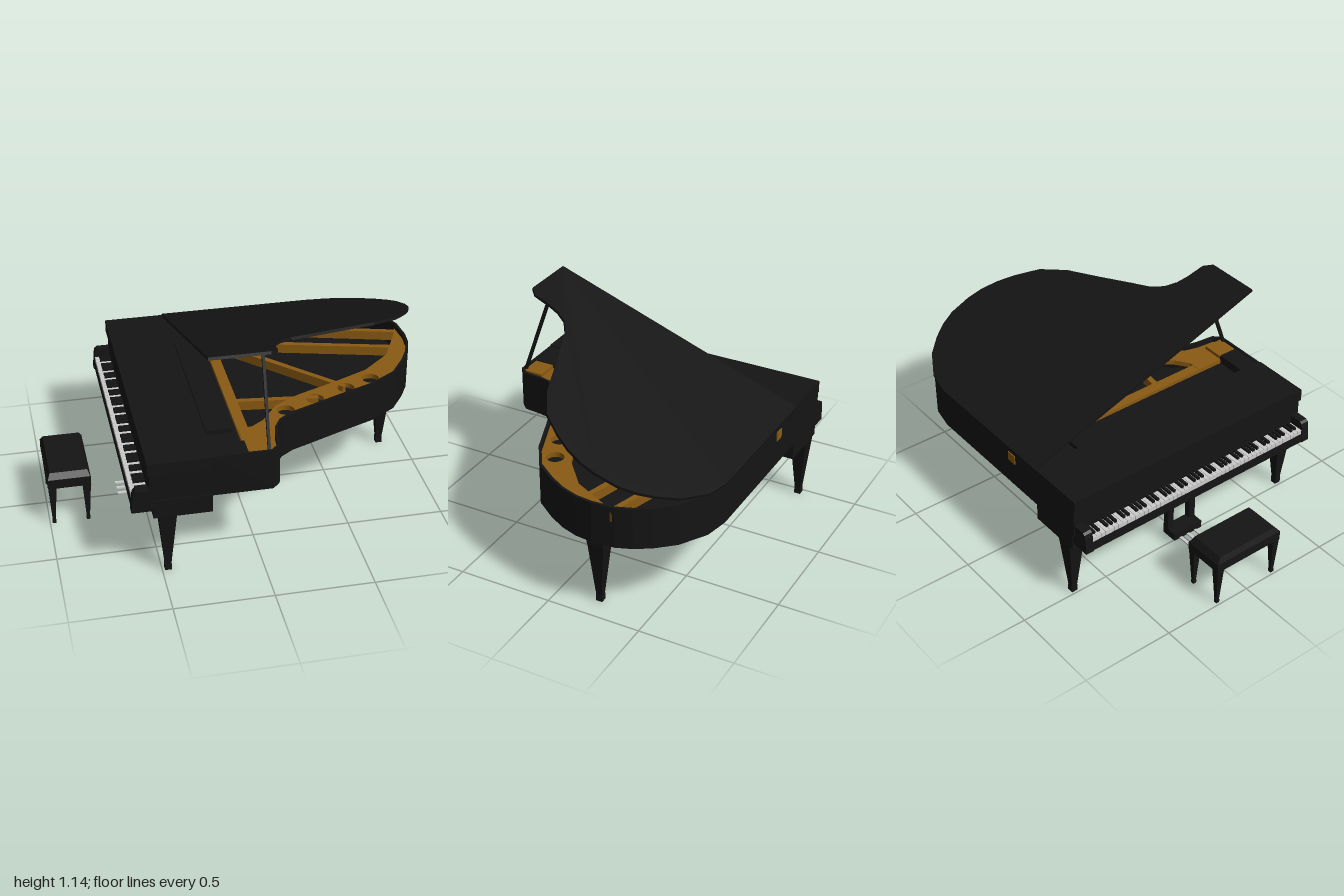
import * as THREE from 'three';

const black = new THREE.MeshStandardMaterial({ color: 0x141414, flatShading: true });
const gold = new THREE.MeshStandardMaterial({ color: 0x8a5a12, flatShading: true });
const ivory = new THREE.MeshStandardMaterial({ color: 0xcccccc });

// Curved side of the case as (x, z), from the front cheek round the tail to the straight side
const curve = [
  [0.05, 0.72], [0.09, 0.68], [0.1, 0.58], [0.115, 0.52], [0.15, 0.46], [0.22, 0.41], [0.32, 0.37],
  [0.5, 0.295], [0.69, 0.22], [0.83, 0.13], [0.91, 0.02], [0.96, -0.07], [0.99, -0.16], [1, -0.25],
  [0.99, -0.37], [0.96, -0.45], [0.91, -0.53], [0.83, -0.62], [0.69, -0.705], [0.56, -0.73],
];

// The curve moved inward by d
function inset(d) {
  return curve.map(([x, z], i) => {
    const a = curve[Math.max(i - 1, 0)], b = curve[Math.min(i + 1, curve.length - 1)];
    const dx = b[0] - a[0], dz = b[1] - a[1], l = Math.hypot(dx, dz);
    return [x + (dz / l) * d, z - (dx / l) * d];
  });
}

const toVectors = (pts) => pts.map(([x, z]) => new THREE.Vector2(x, -z));

function add(parent, name, geometry, material = black) {
  const mesh = new THREE.Mesh(geometry, material);
  mesh.name = name;
  parent.add(mesh);
  return mesh;
}

// Box given by its limits on each axis
function box(parent, name, [x0, x1], [y0, y1], [z0, z1], material) {
  const g = new THREE.BoxGeometry(x1 - x0, y1 - y0, z1 - z0);
  g.translate((x0 + x1) / 2, (y0 + y1) / 2, (z0 + z1) / 2);
  return add(parent, name, g, material);
}

// Flat plan shape raised from y0 to y1
function slab(parent, name, pts, y0, y1, material, holes = []) {
  const shape = new THREE.Shape(toVectors(pts));
  shape.holes.push(...holes);
  const g = new THREE.ExtrudeGeometry(shape, { depth: y1 - y0, bevelEnabled: false, curveSegments: 12 });
  g.rotateX(-Math.PI / 2).translate(0, y0, 0);
  return add(parent, name, g, material);
}

// Four-sided tapered block
function taper(parent, name, x, z, y0, y1, bottom, top) {
  const g = new THREE.CylinderGeometry(top * Math.SQRT1_2, bottom * Math.SQRT1_2, y1 - y0, 4);
  g.rotateY(Math.PI / 4).translate(x, (y0 + y1) / 2, z);
  return add(parent, name, g);
}

// Square bar between two points
function bar(parent, name, a, b, width, height, material) {
  const p = new THREE.Vector3(...a), q = new THREE.Vector3(...b);
  const mesh = add(parent, name, new THREE.BoxGeometry(width, height, p.distanceTo(q)), material);
  mesh.position.copy(p).add(q).multiplyScalar(0.5);
  mesh.lookAt(q);
  return mesh;
}

function buildCase(root) {
  const g = new THREE.Group();
  g.name = 'case';
  const outline = [[-0.25, 0.72], ...curve, [-0.25, -0.73]];
  const inner = [[-0.24, 0.706], ...inset(0.014), [-0.24, -0.716]];
  slab(g, 'rim', outline, 0.43, 0.65, black, [new THREE.Path(toVectors(inner))]);
  slab(g, 'soundboard', inner, 0.43, 0.51, black);
  box(g, 'frontCase', [-0.555, -0.25], [0.43, 0.635], [-0.73, 0.72]);
  box(g, 'frontLid', [-0.565, -0.25], [0.585, 0.65], [-0.73, 0.725]);
  box(g, 'keybed', [-0.54, -0.25], [0.34, 0.44], [-0.73, 0.725]);
  box(g, 'pinBlock', [-0.25, -0.07], [0.5, 0.6], [-0.716, 0.706]);
  box(g, 'cheekTop', [-0.25, -0.07], [0.6, 0.645], [0.6, 0.706]);
  box(g, 'musicShelf', [-0.23, -0.1], [0.6, 0.625], [-0.45, 0.45]);
  root.add(g);
}

function buildFrame(root) {
  const g = new THREE.Group();
  g.name = 'ironFrame';
  // Band following the bent side, with round openings
  const innerEdge = [
    [0.95, -0.3], [0.85, -0.1], [0.7, 0.03], [0.5, 0.12], [0.3, 0.2],
    [0.16, 0.28], [0.07, 0.4], [0, 0.45], [-0.07, 0.45], [-0.07, 0.706],
  ];
  const holes = [[0.2, 0.335], [0.37, 0.26], [0.55, 0.185], [0.7, 0.12]].map(([x, z]) =>
    new THREE.Path().absarc(x, -z, 0.045, 0, Math.PI * 2, true));
  slab(g, 'framePlate', [...inset(0.014).slice(0, 15), ...innerEdge], 0.595, 0.622, gold, holes);
  box(g, 'cheekPlate', [-0.07, 0.05], [0.6, 0.64], [0.6, 0.706], gold);
  box(g, 'tuningBar', [-0.075, -0.02], [0.57, 0.62], [-0.735, 0.6], gold);
  const struts = [
    [-0.04, 0.19, 0.39, 0.24], [-0.02, -0.43, 0.55, 0.16],
    [-0.02, -0.43, 0.96, -0.17], [-0.02, -0.62, 0.99, -0.34],
  ];
  for (const [x0, z0, x1, z1] of struts) bar(g, 'frameStrut', [x0, 0.595, z0], [x1, 0.595, z1], 0.03, 0.05, gold);
  root.add(g);
}

function buildLid(root) {
  const g = new THREE.Group();
  g.name = 'lid';
  slab(g, 'lidPanel', [[-0.25, 0.72], ...curve, [-0.25, -0.73]].map(([x, z]) => [x, z + 0.73]), 0, 0.015, black);
  g.position.set(0, 0.64, -0.73);
  g.rotation.x = -0.343;
  root.add(g);
  bar(root, 'lidProp', [0.03, 0.63, 0.71], [0.03, 1.105, 0.54], 0.014, 0.016, black);
}

function buildKeyboard(root) {
  const g = new THREE.Group();
  g.name = 'keyboard';
  box(g, 'keySlip', [-0.64, -0.54], [0.38, 0.43], [-0.725, 0.72]);
  // Rounded cheek block at each end
  const profile = new THREE.Shape(toVectors([
    [-0.645, -0.38], [-0.54, -0.38], [-0.54, -0.5], [-0.62, -0.5], [-0.632, -0.49], [-0.637, -0.47]]));
  for (const z of [-0.725, 0.675]) {
    const block = new THREE.ExtrudeGeometry(profile, { depth: 0.045, bevelEnabled: false });
    add(g, 'keyBlock', block.translate(0, 0, z));
  }
  const count = 52, z0 = -0.68, step = 1.355 / count;
  for (let i = 0; i < count; i++) {
    const z = z0 + i * step;
    box(g, 'whiteKey', [-0.636, -0.55], [0.43, 0.455], [z + 0.001, z + step - 0.001], ivory);
    if (i > 0 && ![0, 3].includes(i % 7)) {
      box(g, 'blackKey', [-0.615, -0.55], [0.45, 0.468], [z - 0.007, z + 0.007]);
    }
  }
  root.add(g);
}

function buildLegs(root) {
  for (const [x, z, top] of [[-0.47, 0.68, 0.35], [-0.47, -0.685, 0.35], [0.87, -0.22, 0.36]]) {
    const g = new THREE.Group();
    g.name = 'leg';
    taper(g, 'legShaft', x, z, 0.03, top, 0.03, 0.09);
    taper(g, 'legFoot', x, z, 0, 0.035, 0.034, 0.034);
    root.add(g);
  }
  box(root, 'tailLegBlock', [0.825, 0.915], [0.35, 0.44], [-0.265, -0.175]);
  box(root, 'tailLegBracket', [0.835, 0.905], [0.385, 0.44], [-0.32, -0.12]);
}

function buildPedals(root) {
  const g = new THREE.Group();
  g.name = 'pedalLyre';
  for (const z of [-0.068, 0.074]) box(g, 'lyrePost', [-0.485, -0.45], [0.04, 0.35], [z - 0.018, z + 0.018]);
  box(g, 'lyreBase', [-0.54, -0.45], [0.04, 0.082], [-0.086, 0.092]);
  for (const z of [-0.045, 0.003, 0.051]) box(g, 'pedal', [-0.63, -0.53], [0.038, 0.046], [z - 0.008, z + 0.008], ivory);
  root.add(g);
}

function buildBench(root) {
  const g = new THREE.Group();
  g.name = 'bench';
  // Apron around an open underside
  box(g, 'apronLeft', [-1, -0.98], [0.22, 0.27], [-0.2, 0.205]);
  box(g, 'apronRight', [-0.8, -0.78], [0.22, 0.27], [-0.2, 0.205]);
  box(g, 'apronFront', [-0.98, -0.8], [0.22, 0.27], [0.185, 0.205]);
  box(g, 'apronBack', [-0.98, -0.8], [0.22, 0.27], [-0.2, -0.18]);
  // Cushion with sloping edges
  const cushion = new THREE.BoxGeometry(0.22, 0.035, 0.405);
  const p = cushion.attributes.position;
  for (let i = 0; i < p.count; i++) {
    if (p.getY(i) > 0) p.setXYZ(i, p.getX(i) * 0.87, p.getY(i), p.getZ(i) * 0.87);
  }
  add(g, 'cushion', cushion.translate(-0.89, 0.2825, 0.0025));
  for (const x of [-0.978, -0.802]) {
    for (const z of [-0.178, 0.183]) {
      taper(g, 'benchLeg', x, z, 0.018, 0.23, 0.016, 0.042);
      taper(g, 'benchFoot', x, z, 0, 0.02, 0.019, 0.019);
    }
  }
  root.add(g);
}

export function createModel() {
  const root = new THREE.Group();
  root.name = 'grandPiano';
  for (const build of [buildCase, buildFrame, buildLid, buildKeyboard, buildLegs, buildPedals, buildBench]) build(root);
  return root;
}
